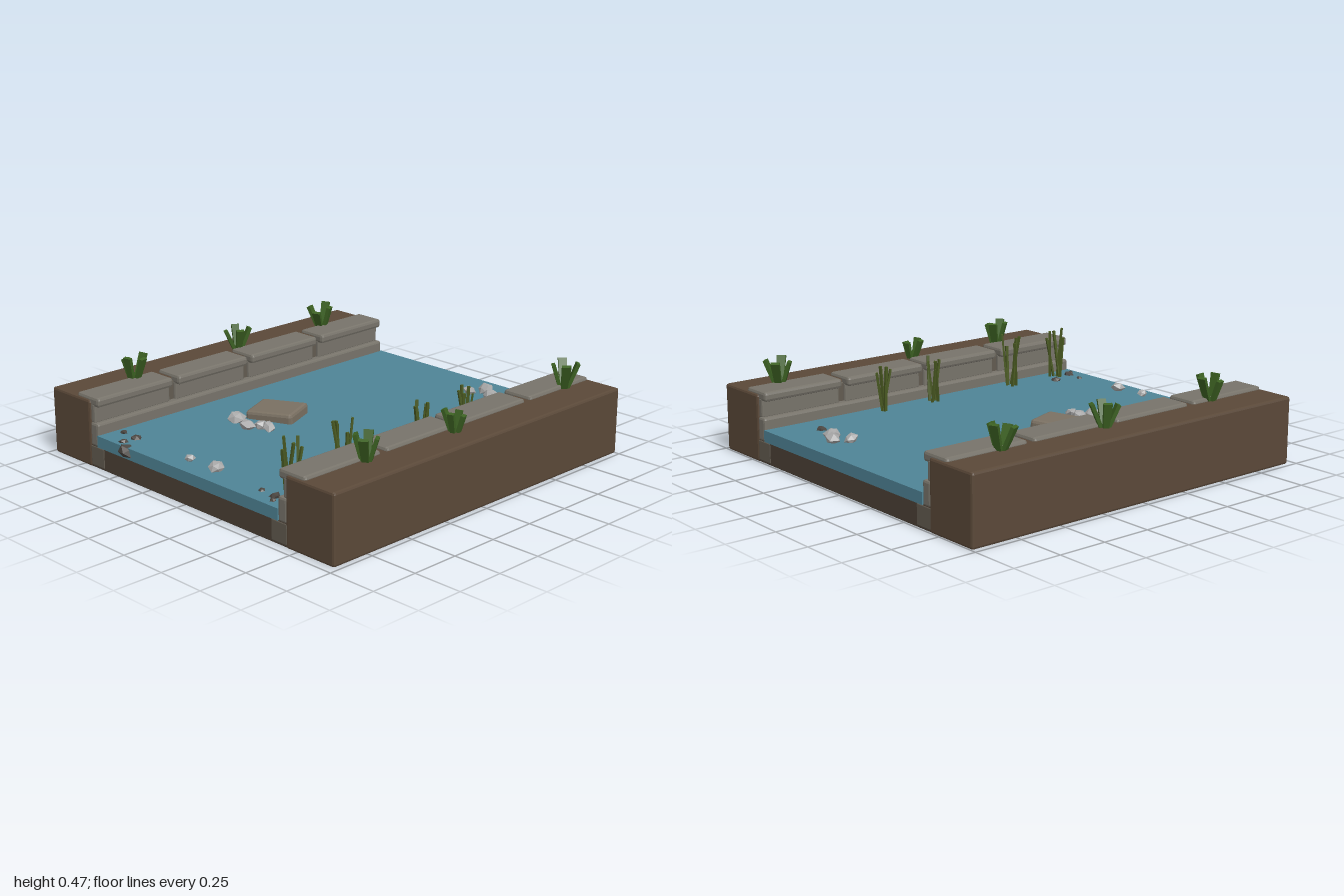
import * as THREE from 'three';
import { RoundedBoxGeometry } from 'three/addons/geometries/RoundedBoxGeometry.js';

const mat = (color) => new THREE.MeshStandardMaterial({ color, flatShading: true });
const soil = mat(0x5a4838), bedSoil = mat(0x4c4136), stone = mat(0x77736a), footStone = mat(0x625b50);
const slabStone = mat(0x7a7062), pale = mat(0xa9a9a9), dark = mat(0x4a4540);
const water = mat(0x4f8496), grass = mat(0x3c6122), reed = mat(0x4a5a22);

let seed = 7;
const rand = (a, b) => {
  seed = (seed * 16807) % 2147483647;
  return a + (b - a) * (seed / 2147483647);
};

// Chamfered block given by its extents on each axis
function block(name, material, [x0, x1], [y0, y1], [z0, z1], bevel = 0.012) {
  const g = new RoundedBoxGeometry(x1 - x0, y1 - y0, z1 - z0, 1, bevel);
  const m = new THREE.Mesh(g, material);
  m.position.set((x0 + x1) / 2, (y0 + y1) / 2, (z0 + z1) / 2);
  m.name = name;
  return m;
}

// Faceted pebble: shared corners are pushed in or out by a hash of their position
function pebble(name, material, x, y, z, r) {
  const g = new THREE.IcosahedronGeometry(r, 0);
  const p = g.attributes.position, v = new THREE.Vector3();
  for (let i = 0; i < p.count; i++) {
    v.fromBufferAttribute(p, i);
    const k = 1 + 0.2 * Math.sin((v.x * 5 + v.y * 9 + v.z * 13) / r + x * 40);
    p.setXYZ(i, v.x * k, v.y * k * 0.8, v.z * k);
  }
  g.computeVertexNormals();
  const m = new THREE.Mesh(g, material);
  m.position.set(x, y, z);
  m.rotation.y = x * 17 + z * 9;
  m.name = name;
  return m;
}

// Upright blade rooted at the local origin, leaning by `lean` toward heading `turn`
function blade(material, w, h, t, lean, turn, taper) {
  const g = new THREE.BoxGeometry(w, h, t).translate(0, h / 2, 0);
  const p = g.attributes.position;
  for (let i = 0; i < p.count; i++) if (p.getY(i) < h / 2) p.setX(i, p.getX(i) * taper);
  const m = new THREE.Mesh(g, material);
  m.rotation.set(lean, turn, 0, 'YXZ');
  m.name = 'blade';
  return m;
}

function grassTuft(x, z, size, turn) {
  const tuft = new THREE.Group();
  tuft.name = 'grassTuft';
  for (let i = 0; i < 4; i++) {
    const a = turn + (i / 4) * Math.PI * 2;
    const b = blade(grass, 0.045 * size, rand(0.11, 0.145) * size, 0.018, rand(0.2, 0.5), a, 0.7);
    b.position.set(Math.sin(a) * 0.018, 0, Math.cos(a) * 0.018);
    tuft.add(b);
  }
  tuft.position.set(x, 0.34, z);
  return tuft;
}

function reedClump(x, z, height) {
  const clump = new THREE.Group();
  clump.name = 'reedClump';
  for (let i = 0; i < 5; i++) {
    const b = blade(reed, 0.014, height * rand(0.75, 1), 0.01, rand(0.06, 0.2), i * 1.3 + z * 5, 1);
    b.position.set(rand(-0.03, 0.03), 0, rand(-0.025, 0.025));
    clump.add(b);
  }
  clump.position.set(x, 0.16, z);
  return clump;
}

export function createModel() {
  const root = new THREE.Group();
  root.name = 'canalSection';
  const length = [-1, 0.96];

  // Channel bed and water sheet
  root.add(block('channelBed', bedSoil, [-0.7, 0.7], [0.002, 0.118], [-0.995, 0.955], 0.004));
  const sheet = new THREE.Mesh(new THREE.BoxGeometry(1.27, 0.058, 1.96), water);
  sheet.position.set(0, 0.143, -0.02);
  sheet.name = 'water';
  root.add(sheet);

  // Mirrored banks, retaining walls and coping stones
  const spans = [[-0.99, -0.54], [-0.505, -0.04], [-0.01, 0.45], [0.485, 0.95]];
  for (const s of [-1, 1]) {
    const side = s > 0 ? 'left' : 'right';
    const across = (a, b) => (s > 0 ? [a, b] : [-b, -a]);
    root.add(block(side + 'Bank', soil, across(0.685, 0.98), [0, 0.34], length, 0.012));
    root.add(block(side + 'Footing', footStone, across(0.59, 0.69), [0.012, 0.112], [-0.998, 0.958], 0.004));
    root.add(block(side + 'LowerWall', stone, across(0.632, 0.69), [0.11, 0.23], [-0.997, 0.957], 0.012));
    spans.forEach(([z0, z1]) => {
      root.add(block(side + 'UpperWallStone', stone, across(0.66, 0.72), [0.222, 0.325], [z0, z1], 0.01));
      root.add(block(side + 'CopingStone', stone, across(0.63, 0.795), [0.308, 0.357], [z0, z1], 0.014));
    });
    // Recessed course seen in the joints
    root.add(block(side + 'WallCore', footStone, across(0.675, 0.73), [0.222, 0.325], [-0.98, 0.94], 0.005));
  }

  // Flat slab lying in the water
  const slab = block('slab', slabStone, [-0.125, 0.125], [0.13, 0.22], [-0.105, 0.105], 0.016);
  slab.position.set(-0.25, 0.172, 0.14);
  slab.rotation.set(0.02, 0.39, 0.03);
  root.add(slab);

  // Pebbles: x, z, radius
  [[-0.33, 0.34, 0.045], [-0.21, 0.375, 0.04], [-0.165, 0.325, 0.036], [-0.12, 0.315, 0.036],
    [-0.06, 0.865, 0.024], [0.11, 0.85, 0.034], [0.2, -0.79, 0.034], [0.25, -0.86, 0.038],
    [0.32, -0.81, 0.044]].forEach(([x, z, r]) => root.add(pebble('palePebble', pale, x, 0.188, z, r)));
  [[0.47, -0.78, 0.028], [-0.58, 0.84, 0.02], [-0.475, 0.85, 0.03], [-0.48, 0.92, 0.024],
    [0.48, 0.74, 0.028], [0.435, 0.87, 0.016], [0.53, 0.875, 0.026], [0.555, 0.91, 0.016]]
    .forEach(([x, z, r]) => root.add(pebble('darkPebble', dark, x, 0.172, z, r)));
  root.add(pebble('edgeRock', dark, -0.42, 0.15, 0.953, 0.044));

  // Plants: tufts on the banks, reeds along the left waterline
  [[-0.79, -0.69, 1, 0.4], [-0.81, -0.1, 0.9, 1.1], [-0.78, 0.61, 0.95, 0.2],
    [0.785, -0.81, 1, 0.8], [0.83, 0.04, 0.75, 0.3], [0.805, 0.59, 1, 0.6]]
    .forEach((t) => root.add(grassTuft(...t)));
  [[0.56, -0.33, 0.25], [0.56, -0.03, 0.25], [0.56, 0.49, 0.29], [0.56, 0.79, 0.29]]
    .forEach((r) => root.add(reedClump(...r)));

  return root;
}
